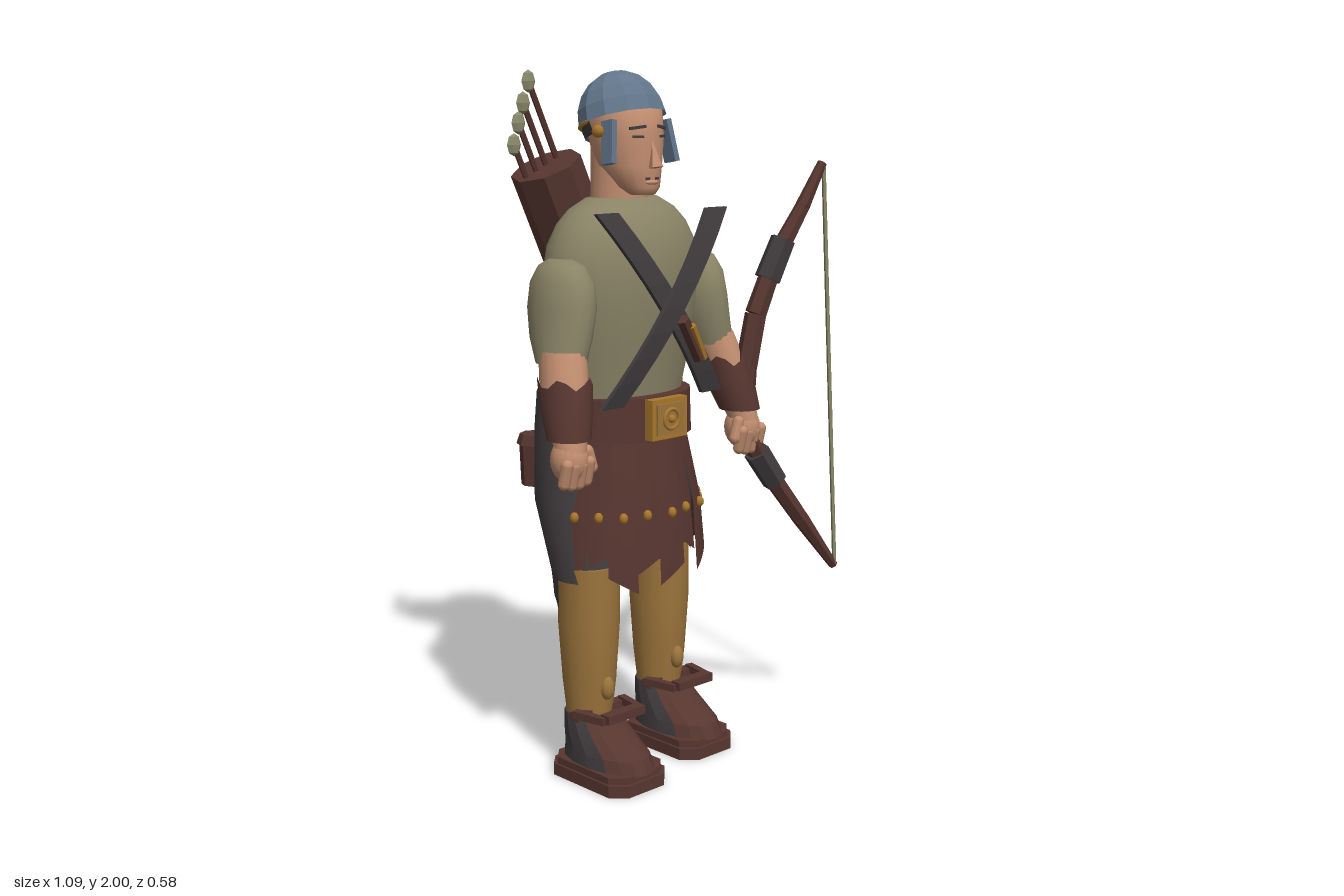
import * as THREE from 'three';
import { toCreasedNormals } from 'three/addons/utils/BufferGeometryUtils.js';

const mat = (name, color, side = THREE.FrontSide) => {
  const m = new THREE.MeshStandardMaterial({ color, side });
  m.name = name;
  return m;
};
const M = {
  skin: mat('skin', 0xc28e70),
  olive: mat('olive cloth', 0x8a8366),
  brown: mat('brown leather', 0x573630, THREE.DoubleSide),
  charcoal: mat('charcoal cloth', 0x413c3e, THREE.DoubleSide),
  ochre: mat('ochre cloth', 0x9c743c),
  gold: mat('gold', 0xa8772c),
  steel: mat('blue steel', 0x62758a, THREE.DoubleSide),
  pale: mat('pale fletching', 0x8c8a6c),
};

function add(parent, name, geo, material, x = 0, y = 0, z = 0) {
  const m = new THREE.Mesh(geo, material);
  m.name = name;
  m.position.set(x, y, z);
  parent.add(m);
  return m;
}
const flat = (g) => {
  const f = g.index ? g.toNonIndexed() : g;
  f.computeVertexNormals();
  return f;
};
const ball = (rx, ry, rz, w = 16, h = 10) => new THREE.SphereGeometry(1, w, h).scale(rx, ry, rz);

// Skin over horizontal elliptical rings [x, y, z, rx, rz], listed upwards; a0..a1 starts at the front
function loft(rings, { seg = 18, a0 = 0, a1 = Math.PI * 2, cap = true, crease = 0.8, warp } = {}) {
  const first = rings[0], last = rings[rings.length - 1];
  const all = cap
    ? [[...first.slice(0, 3), 0, 0], ...rings, [...last.slice(0, 3), 0, 0]] : rings;
  const pos = [], idx = [];
  all.forEach(([x, y, z, rx, rz]) => {
    for (let j = 0; j <= seg; j++) {
      const a = a0 + (a1 - a0) * j / seg;
      const p = [x + rx * Math.sin(a), y, z + rz * Math.cos(a)];
      pos.push(...(warp ? warp(p, j / seg) : p));
    }
  });
  const n = seg + 1;
  for (let i = 0; i < all.length - 1; i++) {
    for (let j = 0; j < seg; j++) {
      const a = i * n + j, d = a + n;
      idx.push(a, a + 1, d + 1, a, d + 1, d);
    }
  }
  const g = new THREE.BufferGeometry();
  g.setAttribute('position', new THREE.Float32BufferAttribute(pos, 3));
  g.setIndex(idx);
  return toCreasedNormals(g, crease);
}

// Straight faceted bar between two points
function rod(parent, name, a, b, ra, rb, material, sides = 6) {
  const A = new THREE.Vector3(...a), B = new THREE.Vector3(...b), d = B.clone().sub(A);
  const m = add(parent, name, flat(new THREE.CylinderGeometry(rb, ra, d.length(), sides)), material);
  m.position.copy(A).add(B).multiplyScalar(0.5);
  m.quaternion.setFromUnitVectors(new THREE.Vector3(0, 1, 0), d.normalize());
  return m;
}

function buildHead(body) {
  add(body, 'neck', loft([[0, 1.61, -0.01, 0.085, 0.08], [0, 1.8, -0.01, 0.08, 0.085]]), M.skin);
  add(body, 'head', loft([
    [0, 1.66, 0.085, 0.035, 0.035], [0, 1.68, 0.07, 0.06, 0.058], [0, 1.74, 0.03, 0.088, 0.097],
    [0, 1.82, 0.018, 0.103, 0.11], [0, 1.89, 0.012, 0.104, 0.108], [0, 1.93, 0.0, 0.085, 0.08],
  ], { crease: 1.2 }), M.skin);
  const nose = add(body, 'nose', flat(new THREE.ConeGeometry(0.022, 0.08, 5)), M.skin, 0, 1.775, 0.132);
  nose.rotation.x = -0.2;
  add(body, 'mouth', new THREE.BoxGeometry(0.05, 0.007, 0.008), M.charcoal, 0, 1.705, 0.122);
  add(body, 'lip', ball(0.026, 0.008, 0.012), M.skin, 0, 1.695, 0.12);
  for (const s of [-1, 1]) {
    const brow = add(body, 'eyebrow', new THREE.BoxGeometry(0.048, 0.008, 0.009), M.charcoal, s * 0.045, 1.845, 0.114);
    brow.rotation.set(0, s * 0.42, s * -0.12);
    const eye = add(body, 'eye', new THREE.BoxGeometry(0.032, 0.007, 0.008), M.charcoal, s * 0.045, 1.82, 0.116);
    eye.rotation.y = s * 0.42;
    const guard = add(body, 'cheekGuard', new THREE.BoxGeometry(0.018, 0.12, 0.045), M.steel, s * 0.112, 1.805, 0.07);
    guard.rotation.set(-0.15, 0, s * 0.15);
    add(body, 'earStud', ball(0.015, 0.018, 0.02, 8, 6), M.gold, s * 0.125, 1.835, 0.04);
  }
  const helmet = new THREE.Group();
  helmet.name = 'helmet';
  helmet.position.set(0, 1.862, 0.005);
  helmet.rotation.x = -0.3;
  body.add(helmet);
  add(helmet, 'helmetDome', flat(new THREE.SphereGeometry(1, 12, 5, 0, Math.PI * 2, 0, Math.PI / 2)
    .scale(0.133, 0.14, 0.118)), M.steel);
  const back = { a0: Math.PI * 0.5, a1: Math.PI * 1.5, cap: false, seg: 8 };
  add(helmet, 'neckBand', loft([[0, -0.035, 0, 0.118, 0.108], [0, 0, 0, 0.126, 0.114]], back), M.charcoal);
  const trim = add(helmet, 'helmetTrim', new THREE.TorusGeometry(1, 0.06, 5, 12, Math.PI), M.gold);
  trim.rotation.x = -Math.PI / 2;
  trim.scale.set(0.128, 0.112, 0.1);
}

function buildTorso(body) {
  const rings = [[1.0, 0.19], [1.12, 0.205], [1.22, 0.23], [1.34, 0.252], [1.44, 0.262],
    [1.52, 0.248], [1.58, 0.215], [1.62, 0.175], [1.65, 0.12]];
  add(body, 'tunic', loft(rings.map(([y, r]) => [0, y, 0, r, r * 0.63]), { seg: 24 }), M.olive);
  add(body, 'tunicSeat', ball(0.17, 0.13, 0.14), M.olive, 0, 0.94, -0.05);
  // Crossed straps, sheared and bowed outwards
  for (const s of [-1, 1]) {
    const g = new THREE.BoxGeometry(0.08, 0.53, 0.014, 1, 8, 1), p = g.attributes.position;
    for (let i = 0; i < p.count; i++) {
      const y = p.getY(i);
      p.setX(i, p.getX(i) + s * 0.76 * y);
      p.setZ(i, p.getZ(i) + 0.04 * (1 - (y / 0.265) ** 2));
    }
    add(body, 'chestStrap', flat(g), M.charcoal, 0, 1.355, 0.165 + s * 0.008);
  }
  rod(body, 'knifeHandle', [0.03, 1.32, 0.215], [0.115, 1.2, 0.195], 0.02, 0.02, M.brown);
  rod(body, 'knifeTrim', [0.055, 1.3, 0.225], [0.125, 1.2, 0.203], 0.013, 0.013, M.gold);
}

function buildArm(body, s) {
  const side = (rings) => rings.map(([x, ...r]) => [s * x, ...r]);
  add(body, 'sleeve', loft(side([[0.288, 1.215, 0.065, 0.064, 0.078], [0.27, 1.28, 0.045, 0.075, 0.1],
    [0.255, 1.36, 0.033, 0.08, 0.114], [0.25, 1.43, 0.03, 0.075, 0.105], [0.25, 1.475, 0.028, 0.055, 0.075],
    [0.25, 1.492, 0.025, 0.03, 0.04]])), M.olive);
  add(body, 'forearm', loft(side([[0.338, 0.99, 0.16, 0.043, 0.045], [0.31, 1.15, 0.105, 0.066, 0.072],
    [0.288, 1.25, 0.07, 0.06, 0.072]])), M.skin);
  // Bracer with a ragged upper edge
  add(body, 'bracer', loft(side([[0.333, 1.02, 0.148, 0.06, 0.062], [0.318, 1.1, 0.122, 0.071, 0.075],
    [0.305, 1.17, 0.1, 0.073, 0.08]]), {
    cap: false, warp: ([x, y, z], t) => [x, y > 1.15 ? y + 0.016 * Math.sin(t * Math.PI * 10) : y, z],
  }), M.brown);
  add(body, 'palm', ball(0.052, 0.065, 0.055), M.skin, s * 0.338, 0.965, 0.155);
  for (let i = 0; i < 4; i++) {
    const f = add(body, 'finger', new THREE.CapsuleGeometry(0.017, 0.055, 3, 8), M.skin,
      s * (0.3 + i * 0.026), 0.925 + 0.006 * Math.abs(i - 1.5), 0.185);
    f.rotation.x = 0.25;
  }
  const thumb = add(body, 'thumb', new THREE.CapsuleGeometry(0.017, 0.05, 3, 8), M.skin, s * 0.288, 0.965, 0.18);
  thumb.rotation.z = s * -0.3;
}

function buildLeg(body, s) {
  const z = s > 0 ? -0.025 : 0.035, x = s * 0.168; // the right leg steps forward
  add(body, 'trouserLeg', loft([[s * 0.165, 0.58, z - 0.01, 0.096, 0.1], [s * 0.16, 0.8, -0.035, 0.112, 0.115],
    [s * 0.15, 1.0, -0.05, 0.112, 0.105], [s * 0.15, 1.11, -0.05, 0.103, 0.098]]), M.charcoal);
  add(body, 'trouserTail', loft([[x, 0.53, z - 0.01, 0.094, 0.097], [x, 0.6, z - 0.01, 0.097, 0.102]], {
    a0: 1.7, a1: 4.6, cap: false, seg: 9, warp: ([a, y, c], t) => [a, y < 0.55 ? y - 0.05 * Math.sin(t * 7) : y, c],
  }), M.charcoal);
  add(body, 'shin', loft([[x, 0.16, z, 0.064, 0.066], [x, 0.28, z, 0.077, 0.08], [x, 0.45, z, 0.088, 0.092],
    [x, 0.62, z, 0.088, 0.092]]), M.ochre);
  add(body, 'shinKnob', ball(0.022, 0.035, 0.02, 10, 8), M.ochre, x, 0.265, z + 0.078);
  // Two-tone boot on a chamfered sole
  const boot = [[x, 0.05, z + 0.083, 0.098, 0.163], [x, 0.09, z + 0.075, 0.094, 0.15],
    [x, 0.14, z + 0.035, 0.085, 0.11], [x, 0.185, z + 0.005, 0.074, 0.078]];
  add(body, 'bootToe', loft(boot, { a0: -1.05, a1: 1.05, seg: 6, crease: 0.3 }), M.brown);
  add(body, 'bootHeel', loft(boot, { a0: 1.05, a1: Math.PI * 2 - 1.05, seg: 10, crease: 0.3 }), M.charcoal);
  [[0, 0.035, 1], [0.035, 0.02, 0.94]].forEach(([y, h, k]) => {
    const w = 0.108 * k, l = 0.158 * k, c = 0.04;
    const shape = new THREE.Shape([[-w, -l + c], [-w + c, -l], [w - c, -l], [w, -l + c],
      [w, l - c], [w - c, l], [-w + c, l], [-w, l - c]].map((p) => new THREE.Vector2(...p)));
    add(body, 'sole', new THREE.ExtrudeGeometry(shape, { depth: h, bevelEnabled: false })
      .rotateX(-Math.PI / 2), M.brown, x, y, z + 0.083);
  });
  for (const [dz, w, y] of [[0.145, 0.14, 0.205], [0.04, 0.185, 0.19]]) {
    add(body, 'ankleStrap', new THREE.BoxGeometry(w, 0.025, 0.034), M.brown, x, y, z + dz);
  }
  for (const k of [-1, 1]) {
    const bar = add(body, 'ankleStrap', new THREE.BoxGeometry(0.022, 0.022, 0.11), M.brown, x + k * 0.08, 0.2, z + 0.092);
    bar.rotation.y = k * -0.2;
  }
}

function buildWaist(body) {
  add(body, 'belt', loft([[0, 0.975, 0, 0.222, 0.172], [0, 1.1, 0, 0.218, 0.168]], { seg: 24 }), M.brown);
  add(body, 'buckle', new THREE.BoxGeometry(0.135, 0.115, 0.03), M.gold, 0, 1.04, 0.18);
  add(body, 'buckleInset', new THREE.BoxGeometry(0.105, 0.088, 0.008), M.ochre, 0, 1.04, 0.197);
  add(body, 'buckleRing', new THREE.TorusGeometry(0.028, 0.006, 6, 16), M.gold, 0, 1.04, 0.203);
  add(body, 'buckleBoss', ball(0.012, 0.012, 0.01, 8, 6), M.gold, 0, 1.04, 0.203);
  // Studded leather strips with uneven hems
  const drops = [0.66, 0.61, 0.64, 0.575, 0.62, 0.59, 0.66, 0.6, 0.63, 0.64, 0.61];
  const step = 3.5 / drops.length;
  drops.forEach((y, i) => {
    const a = -1.75 + step * (i + 0.5), o = (i % 2) * 0.012;
    add(body, 'skirtStrip', loft([[0, y, 0, 0.25 + o, 0.2 + o], [0, 0.78, 0, 0.235 + o, 0.188 + o],
      [0, 0.99, 0, 0.195, 0.165]], {
      a0: a - step * 0.56, a1: a + step * 0.56, seg: 4, cap: false,
      warp: ([x, h, z], t) => [x, h < 0.7 ? h + (t - 0.5) * (i % 3 ? 0.05 : -0.05) : h, z],
    }), M.brown);
    add(body, 'stud', ball(0.013, 0.016, 0.013, 8, 6), M.gold, (0.24 + o) * Math.sin(a), 0.77, (0.193 + o) * Math.cos(a));
  });
  // Belt pouches at the back
  for (const [x, y, z, r, m] of [[-0.12, 0.965, -0.155, 0.042, M.charcoal], [-0.2, 0.89, -0.155, 0.05, M.brown]]) {
    add(body, 'pouch', flat(new THREE.CylinderGeometry(r * 0.95, r * 0.85, 0.13, 8)), m, x, y, z);
    add(body, 'pouchLid', flat(new THREE.CylinderGeometry(r * 0.9, r * 1.1, 0.03, 8)), M.brown, x, y + 0.07, z);
  }
}

function buildGear(root) {
  // Quiver with four arrows
  rod(root, 'quiver', [0.0, 1.145, -0.19], [-0.275, 1.735, -0.19], 0.105, 0.105, M.brown, 8);
  [[-0.33, 1.97], [-0.35, 1.91], [-0.368, 1.855], [-0.385, 1.795]].forEach(([x, y]) => {
    rod(root, 'arrowShaft', [x + 0.13, y - 0.28, -0.195], [x, y, -0.195], 0.009, 0.009, M.brown, 5);
    add(root, 'fletching', flat(new THREE.SphereGeometry(1, 6, 4).scale(0.025, 0.032, 0.013)), M.pale, x, y, -0.195);
  });
  // Bow limbs tapering to both tips
  const bow = [[0.44, 1.735, 0.228, 0.014], [0.37, 1.61, 0.215, 0.022], [0.28, 1.46, 0.19, 0.029],
    [0.215, 1.3, 0.175, 0.032], [0.185, 1.15, 0.168, 0.033], [0.175, 0.97, 0.168, 0.03], [0.26, 0.83, 0.18, 0.03],
    [0.39, 0.66, 0.205, 0.026], [0.53, 0.485, 0.225, 0.014]];
  for (let i = 0; i < bow.length - 1; i++) {
    const a = bow[i], b = bow[i + 1];
    rod(root, 'bowLimb', a.slice(0, 3), b.slice(0, 3), a[3], b[3], M.brown);
  }
  rod(root, 'bowWrap', [0.305, 1.515, 0.198], [0.255, 1.4, 0.183], 0.038, 0.04, M.charcoal);
  rod(root, 'bowWrap', [0.225, 0.885, 0.175], [0.295, 0.785, 0.187], 0.04, 0.038, M.charcoal);
  rod(root, 'bowString', [0.445, 1.72, 0.23], [0.53, 0.49, 0.23], 0.007, 0.007, M.pale, 5);
}

export function createModel() {
  const root = new THREE.Group();
  root.name = 'archer';
  const body = new THREE.Group();
  body.name = 'body';
  body.position.x = -0.155;
  root.add(body);
  buildHead(body);
  buildTorso(body);
  buildWaist(body);
  for (const s of [-1, 1]) {
    buildArm(body, s);
    buildLeg(body, s);
  }
  buildGear(root);
  return root;
}
